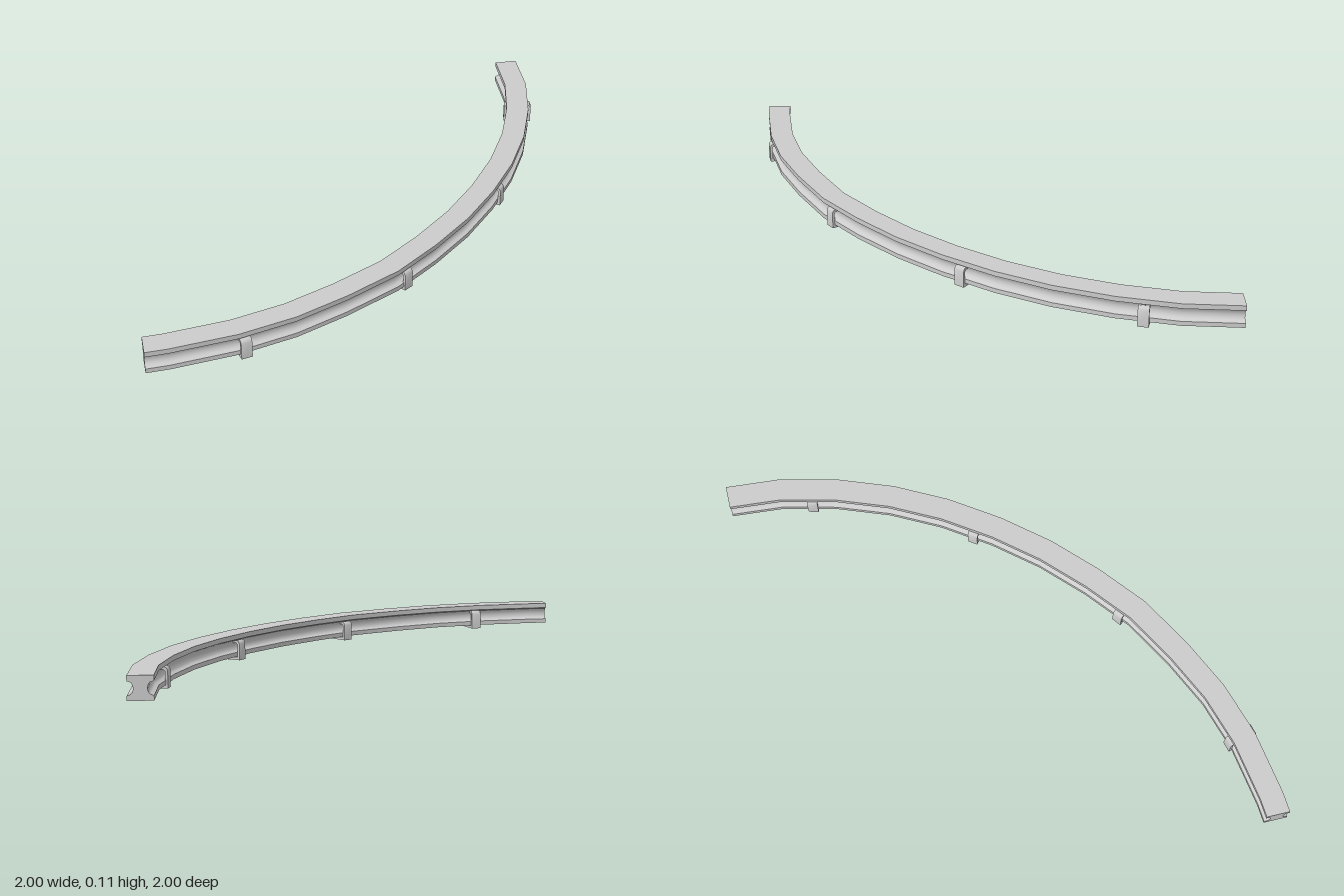
import * as THREE from 'three';
import { toCreasedNormals } from 'three/addons/utils/BufferGeometryUtils.js';

// Centre line of the curved rail on the ground plane (x, z)
const path = [
  [-1, 0.95], [-0.915, 0.945], [-0.65, 0.907], [-0.425, 0.842], [-0.213, 0.746],
  [0.012, 0.622], [0.2, 0.471], [0.375, 0.305], [0.53, 0.122], [0.67, -0.08],
  [0.785, -0.295], [0.873, -0.525], [0.932, -0.765], [0.95, -1],
].map(([x, z]) => new THREE.Vector2(x, z));

// Outer half of the I-shaped section (across, y), bottom to top
const half = [
  [0.05, 0.015], [0.05, 0.034], [0.036, 0.039], [0.029, 0.047], [0.026, 0.06],
  [0.028, 0.073], [0.034, 0.083], [0.05, 0.089], [0.05, 0.11],
];
const mirrored = (pts) => [...pts, ...pts.map(([u, y]) => [-u, y]).reverse()];

// Outward normal of a path segment
const segmentNormal = (i) => {
  const t = path[i + 1].clone().sub(path[i]).normalize();
  return new THREE.Vector2(-t.y, t.x);
};

// Mitred sweep of the section along the path, with closed ends
function railGeometry() {
  const section = mirrored(half);
  const n = section.length, last = path.length - 1;
  const pos = [], index = [];
  path.forEach((p, i) => {
    let normal;
    if (i === 0) normal = new THREE.Vector2(0, 1);
    else if (i === last) normal = new THREE.Vector2(1, 0);
    else {
      const a = segmentNormal(i - 1);
      normal = a.clone().add(segmentNormal(i)).normalize();
      normal.divideScalar(normal.dot(a));
    }
    for (const [u, y] of section) pos.push(p.x + normal.x * u, y, p.y + normal.y * u);
  });
  for (let i = 0; i < last; i++) {
    for (let j = 0; j < n; j++) {
      const k = (j + 1) % n;
      const a = i * n + j, b = i * n + k, c = a + n, d = b + n;
      index.push(a, c, b, b, c, d);
    }
  }
  const outline = section.map(([u, y]) => new THREE.Vector2(u, y));
  for (const [a, b, c] of THREE.ShapeUtils.triangulateShape(outline, [])) {
    index.push(a, b, c, last * n + a, last * n + c, last * n + b);
  }
  const geometry = new THREE.BufferGeometry();
  geometry.setAttribute('position', new THREE.Float32BufferAttribute(pos, 3));
  geometry.setIndex(index);
  return toCreasedNormals(geometry, 0.6);
}

// U-shaped clip that wraps under the rail and hooks into its grooves
function clipGeometry() {
  const outer = [[0.062, 0], [0.062, 0.07], [0.056, 0.081], [0.046, 0.085], [0.03, 0.08]];
  const inner = [[0.03, 0.073], [0.044, 0.075], [0.051, 0.067], [0.051, 0.013]];
  const shape = new THREE.Shape(mirrored([...outer, ...inner]).map(([u, y]) => new THREE.Vector2(u, y)));
  const depth = 0.045;
  const geometry = new THREE.ExtrudeGeometry(shape, { depth, bevelEnabled: false });
  geometry.translate(0, 0, -depth / 2);
  return toCreasedNormals(geometry, 0.7);
}

export function createModel() {
  const group = new THREE.Group();
  group.name = 'curvedRail';
  const material = new THREE.MeshStandardMaterial({ color: 0xcccccc });

  const rail = new THREE.Mesh(railGeometry(), material);
  rail.name = 'rail';
  group.add(rail);

  // Four clips: x, z and the direction of the rail's outward normal
  const clip = clipGeometry();
  const places = [
    [-0.628, 0.903, 76], [0.053, 0.585, 54], [0.58, 0.048, 36], [0.904, -0.63, 14],
  ];
  places.forEach(([x, z, degrees], i) => {
    const mesh = new THREE.Mesh(clip, material);
    mesh.name = `clip${i + 1}`;
    mesh.position.set(x, 0, z);
    mesh.rotation.y = -THREE.MathUtils.degToRad(degrees);
    group.add(mesh);
  });
  return group;
}
